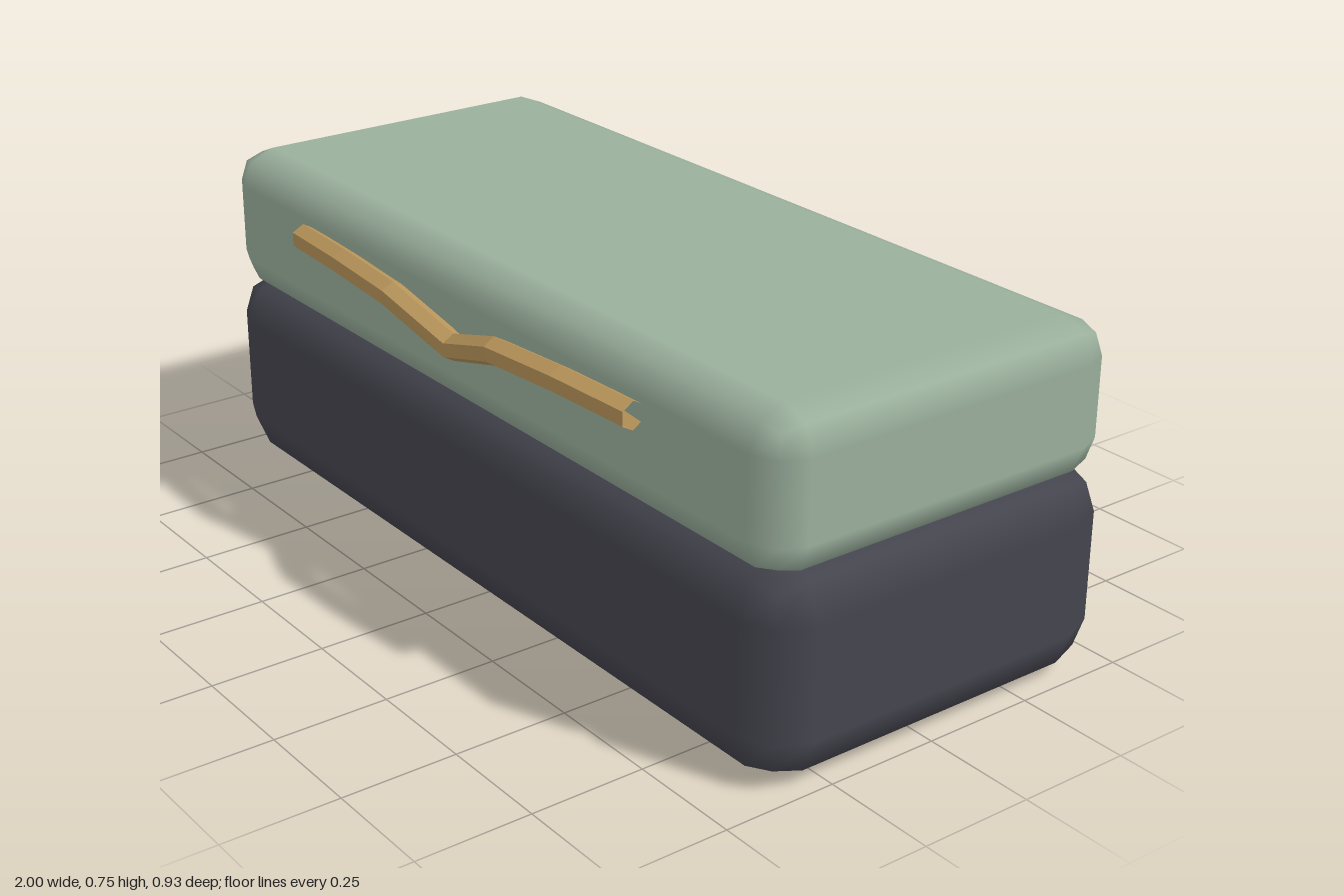
import * as THREE from 'three';
import { RoundedBoxGeometry } from 'three/addons/geometries/RoundedBoxGeometry.js';

export function createModel() {
  const group = new THREE.Group();
  const material = (name, color, extra = {}) => {
    const m = new THREE.MeshStandardMaterial({ color, ...extra });
    m.name = name;
    return m;
  };
  const charcoal = material('charcoal', 0x45454f);
  const sage = material('sage green', 0x9bb09d);
  const brass = material('brass', 0xb8955a, { flatShading: true, side: THREE.DoubleSide });

  const add = (name, geometry, mat) => {
    const mesh = new THREE.Mesh(geometry, mat);
    mesh.name = name;
    group.add(mesh);
    return mesh;
  };

  // Softly bevelled body and slightly smaller lid resting into it
  const bodyZ = -0.034;
  add('body', new RoundedBoxGeometry(2, 0.452, 0.874, 1, 0.107), charcoal)
    .position.set(0, 0.226, bodyZ);
  add('lid', new RoundedBoxGeometry(1.966, 0.33, 0.848, 1, 0.08), sage)
    .position.set(0, 0.587, bodyZ);

  // Bent brass handle across the lid's front, dipping in the middle
  const half = [[0.2, 0.643, 0.437], [0.4, 0.649, 0.428], [0.6, 0.643, 0.41]];
  const points = [
    ...half.map(([x, y, z]) => [-x, y, z]).reverse(),
    [0, 0.58, 0.411],
    ...half,
  ].map((p) => new THREE.Vector3(...p));
  add('handle', new THREE.TubeGeometry(new THREE.CatmullRomCurve3(points), 6, 0.03, 6), brass);

  return group;
}
